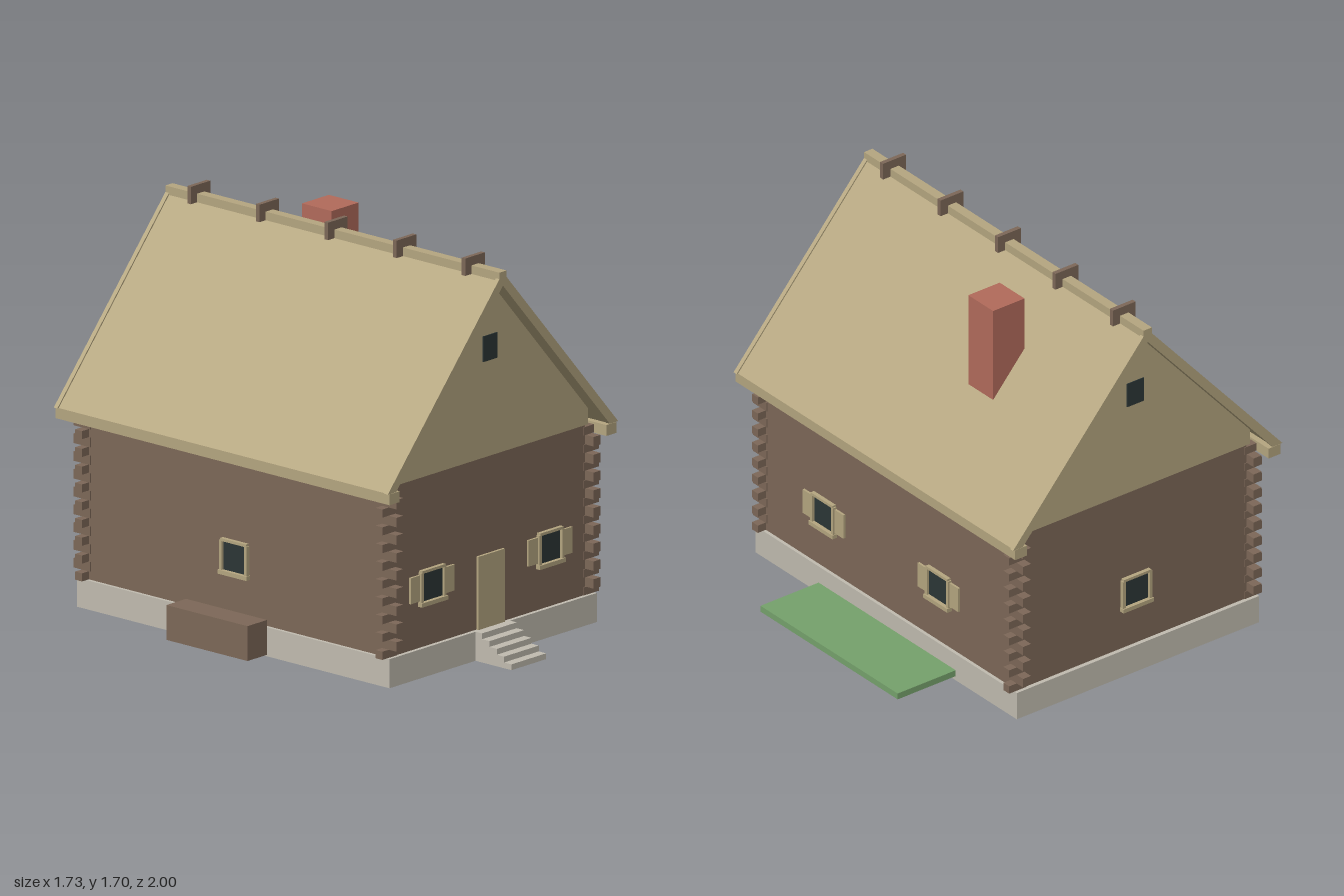
import * as THREE from 'three';

const mat = (name, color) => {
  const m = new THREE.MeshStandardMaterial({ color });
  m.name = name;
  return m;
};

export function createModel() {
  const tan = mat('pale timber', 0xb5a680);
  const brown = mat('brown logs', 0x7d6858);
  const stone = mat('stone', 0xc1bcb0);
  const dark = mat('dark glass', 0x2c3636);
  const red = mat('brick red', 0xb26b5b);
  const green = mat('green', 0x76a26c);

  const model = new THREE.Group();
  model.name = 'logCabin';

  // Box given by its extents on each axis
  const box = (name, material, [x0, x1], [y0, y1], [z0, z1], parent = model) => {
    const mesh = new THREE.Mesh(new THREE.BoxGeometry(x1 - x0, y1 - y0, z1 - z0), material);
    mesh.position.set((x0 + x1) / 2, (y0 + y1) / 2, (z0 + z1) / 2);
    mesh.name = name;
    parent.add(mesh);
    return mesh;
  };
  // Outline in x,y extruded from z0 to z1
  const prism = (name, material, points, [z0, z1]) => {
    const shape = new THREE.Shape(points.map(([x, y]) => new THREE.Vector2(x, y)));
    const geo = new THREE.ExtrudeGeometry(shape, { depth: z1 - z0, bevelEnabled: false });
    const mesh = new THREE.Mesh(geo, material);
    mesh.position.z = z0;
    mesh.name = name;
    model.add(mesh);
  };

  const cx = -0.077, cz = -0.067;      // house centre
  const hx = 0.622, hz = 0.849;        // half size of the walls
  const ix = 0.585, iz = 0.815;        // inner faces of the walls
  const base = 0.125, wallTop = 0.855;
  const front = cz + hz, back = cz - hz;

  // Foundation and front steps
  box('foundation', stone, [cx - 0.637, cx + 0.637], [0, base], [-0.935, 0.8]);
  for (let i = 0; i < 5; i++) {
    box('frontStep', stone, [-0.185, 0.028], [i * 0.025, (i + 1) * 0.025], [0.8, 1 - i * 0.041]);
  }

  // Walls, notched at the corners for the logs
  box('frontBackWalls', brown, [cx - ix, cx + ix], [base, wallTop], [back, front]);
  box('sideWalls', brown, [cx - hx, cx + hx], [base, wallTop], [cz - iz, cz + iz]);

  // Interlocking log ends at the four corners
  const pitch = 0.0765, half = 0.0175;
  for (const sx of [-1, 1]) for (const sz of [-1, 1]) {
    const span = (c, s, a, b) => [c + s * a, c + s * b].sort((p, q) => p - q);
    for (let i = 0; i < 10; i++) {
      const y = 0.143 + i * pitch;
      const reach = i === 9 ? 0.64 : 0.665;
      box('crossLogEnd', brown, span(cx, sx, ix - 0.01, reach), [y - half, y + half],
        span(cz, sz, iz, hz + 0.004));
      if (i === 9) continue;
      const y2 = y + pitch / 2;
      box('sideLogEnd', brown, span(cx, sx, ix, hx + 0.004), [y2 - half - 0.003, y2 + half + 0.003],
        span(cz, sz, iz - 0.01, 0.897));
    }
  }

  // Gables and roof
  const apex = 1.65, eave = 0.86, halfRoof = 0.70, slope = (apex - eave) / halfRoof;
  const roofZ = [-1, 0.855];
  const under = x => apex - 0.04 - slope * x;
  prism('gables', tan, [
    [cx - 0.603, wallTop], [cx + 0.603, wallTop], [cx + 0.603, under(0.603)],
    [cx, under(0)], [cx - 0.603, under(0.603)],
  ], [back, front]);
  const chevron = (top, drop) => {
    const xo = (top - eave) / slope, xi = (top - drop - eave) / slope;
    return [[cx - xo, eave], [cx - xi, eave], [cx, top - drop],
      [cx + xi, eave], [cx + xo, eave], [cx, top]];
  };
  prism('roof', tan, chevron(apex, 0.045), [roofZ[0] + 0.002, roofZ[1] - 0.002]);
  for (const z of [roofZ[0], roofZ[1] - 0.02]) {
    prism('vergeBoard', tan, chevron(apex + 0.009, 0.058), [z, z + 0.02]);
  }
  for (const s of [-1, 1]) {
    const a = cx + s * 0.635, b = cx + s * 0.697;
    box('eaveBeam', tan, [Math.min(a, b), Math.max(a, b)], [0.812, 0.859], roofZ);
  }

  // Ridge beam and its stakes
  box('ridgeBeam', tan, [cx - 0.022, cx + 0.022], [1.6, 1.662], roofZ);
  for (let i = 0; i < 5; i++) {
    const z = 0.69 - i * 0.381;
    box('ridgeStake', brown, [cx - 0.06, cx + 0.06], [1.625, 1.7], [z - 0.01, z + 0.01]);
  }

  // Chimney
  box('chimney', red, [0.143, 0.308], [1.15, 1.64], [-0.46, -0.295]);

  // Framed window, built facing +z and then turned onto its wall
  const addWindow = (x, z, turn, shutters) => {
    const g = new THREE.Group();
    g.name = 'window';
    box('glass', dark, [-0.064, 0.064], [-0.063, 0.063], [-0.002, 0.006], g);
    for (const s of [-1, 1]) {
      box('frameSide', tan, [s * 0.07 - 0.007, s * 0.07 + 0.007], [-0.065, 0.065], [-0.002, 0.018], g);
      if (shutters) {
        box('shutter', tan, [s * 0.106 - 0.029, s * 0.106 + 0.029], [-0.056, 0.056], [-0.002, 0.01], g);
      }
    }
    box('frameTop', tan, [-0.072, 0.072], [0.062, 0.074], [-0.002, 0.018], g);
    box('sill', tan, [-0.08, 0.08], [-0.08, -0.062], [-0.002, 0.024], g);
    g.position.set(x, 0.384, z);
    g.rotation.y = turn;
    model.add(g);
  };
  for (const s of [-1, 1]) {
    addWindow(cx + s * 0.362, front, 0, true);
    addWindow(cx + hx, -0.024 + s * 0.381, Math.PI / 2, true);
  }
  addWindow(cx, back, Math.PI, false);
  addWindow(cx - hx, cz, -Math.PI / 2, false);

  // Small gable windows and the front door
  for (const z of [front, back]) {
    box('gableWindow', dark, [cx - 0.044, cx + 0.044], [1.268, 1.378], [z - 0.004, z + 0.004]);
  }
  box('door', tan, [-0.16, 0.002], [base, 0.44], [front - 0.005, front + 0.012]);

  // Trough beside the house and the lawn bed on the other side
  box('trough', brown, [-0.867, -0.747], [0.02, 0.17], [-0.3, 0.15]);
  box('lawnBed', green, [0.56, 0.865], [0.02, 0.048], [-0.53, 0.38]);

  return model;
}
